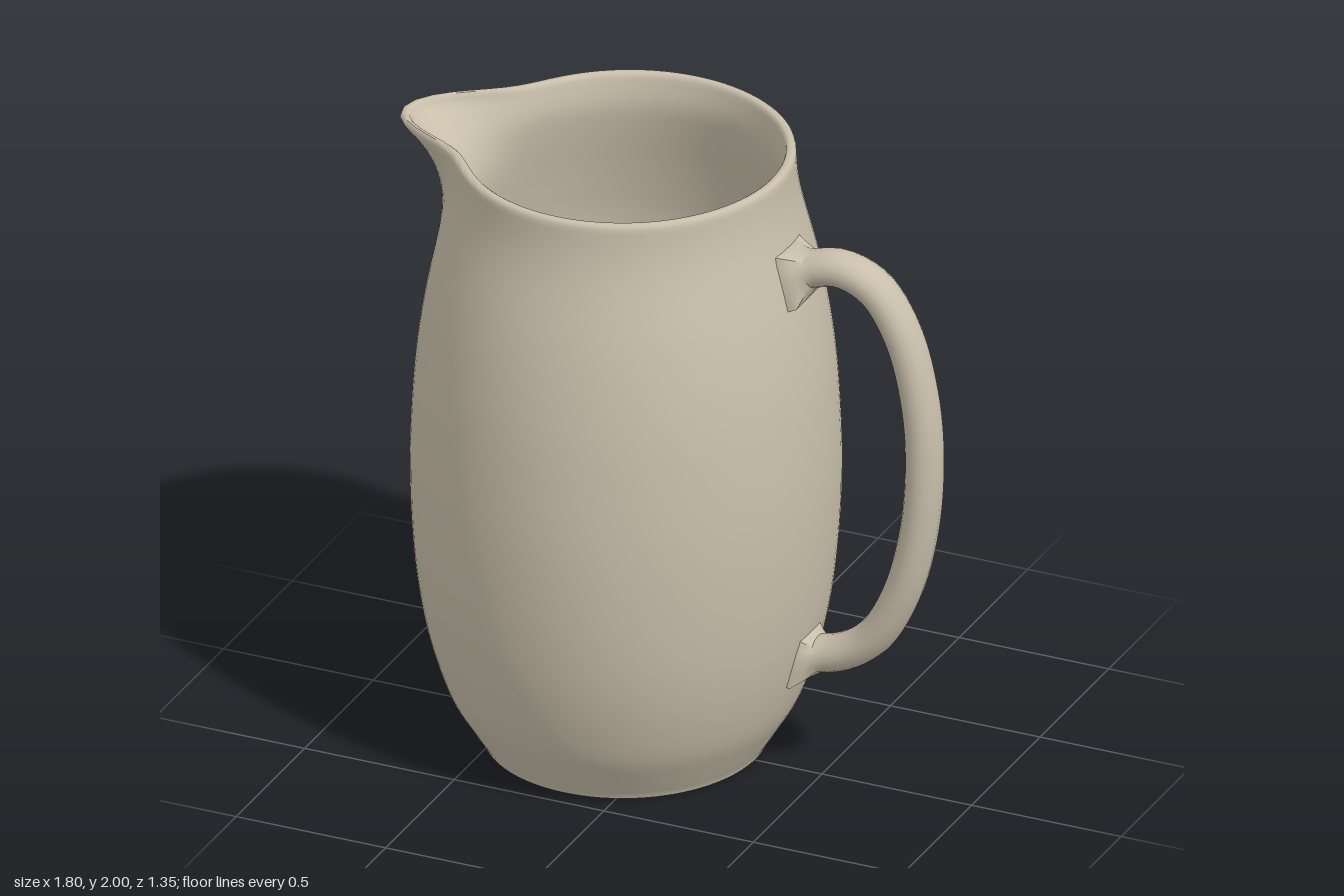
import * as THREE from 'three';
import { toCreasedNormals } from 'three/addons/utils/BufferGeometryUtils.js';

const CENTER_X = -0.155;   // axis of the jug body
const Z_STRETCH = 1.03;    // body is slightly wider in z

const smoothCurve = (pts, n) =>
  new THREE.SplineCurve(pts.map(([x, y]) => new THREE.Vector2(x, y))).getPoints(n);

// Pulls the upper wall out towards -x into a pouring lip
function pullSpout(geometry) {
  const p = geometry.attributes.position;
  for (let i = 0; i < p.count; i++) {
    const x = p.getX(i), y = p.getY(i), z = p.getZ(i);
    const r = Math.hypot(x, z);
    if (r < 1e-6) continue;
    const angle = Math.atan2(z, -x) * 180 / Math.PI;
    const side = Math.exp(-0.5 * (angle / 12) ** 2);
    const t = THREE.MathUtils.clamp((y - 1.6) / 0.38, 0, 1);
    const k = (r + 0.23 * side * Math.pow(t, 2.2)) / r;
    p.setXYZ(i, x * k, y - 0.014 * side * Math.pow(t, 6), z * k * Z_STRETCH);
  }
  return geometry;
}

// Closed wall: base, outside, rim, inside, inner floor
function bodyGeometry() {
  const outer = smoothCurve([
    [0.438, 0.015], [0.485, 0.09], [0.545, 0.2], [0.605, 0.4], [0.64, 0.63], [0.655, 0.92],
    [0.645, 1.2], [0.625, 1.4], [0.59, 1.6], [0.54, 1.8], [0.522, 1.9], [0.516, 1.985],
  ], 44);
  const inner = smoothCurve([
    [0.482, 1.985], [0.472, 1.9], [0.49, 1.8], [0.54, 1.6], [0.575, 1.4], [0.605, 0.92],
    [0.59, 0.63], [0.555, 0.4], [0.5, 0.2], [0.45, 0.1],
  ], 36);
  const v = (x, y) => new THREE.Vector2(x, y);
  const profile = [
    v(0, 0), v(0.425, 0), v(0.434, 0.004), ...outer,
    v(0.512, 1.996), v(0.506, 2), v(0.492, 2), v(0.486, 1.996), ...inner,
    v(0.42, 0.075), v(0.36, 0.065), v(0, 0.06),
  ];
  return toCreasedNormals(pullSpout(new THREE.LatheGeometry(profile, 96)), 0.7);
}

// Oval section swept along the handle, flaring to a square pad at both ends
function handleGeometry() {
  const path = new THREE.CatmullRomCurve3([
    [0.39, 1.685], [0.47, 1.72], [0.57, 1.74], [0.68, 1.695], [0.77, 1.56], [0.825, 1.36],
    [0.843, 1.15], [0.825, 0.9], [0.765, 0.67], [0.67, 0.505], [0.57, 0.435], [0.48, 0.41],
    [0.41, 0.41],
  ].map(([x, y]) => new THREE.Vector3(x, y, 0)));
  const rings = 64, sides = 16, length = path.getLength();
  const pos = [], index = [];
  for (let i = 0; i <= rings; i++) {
    const u = i / rings;
    const c = path.getPointAt(u), t = path.getTangentAt(u);
    const fromEnd = Math.min(u, 1 - u) * length;
    const flare = 1 - THREE.MathUtils.smoothstep(fromEnd, 0.03, 0.085);
    for (let j = 0; j < sides; j++) {
      const a = (j / sides) * Math.PI * 2;
      const ca = Math.cos(a), sa = Math.sin(a);
      const square = 0.09 / Math.max(Math.abs(ca), Math.abs(sa));
      const n = THREE.MathUtils.lerp(0.058, square, flare) * ca;
      const b = THREE.MathUtils.lerp(0.069, square, flare) * sa;
      pos.push(c.x - t.y * n, c.y + t.x * n, b);
      if (i < rings) {
        const k = i * sides + j, m = i * sides + (j + 1) % sides;
        index.push(k, m, k + sides, m, m + sides, k + sides);
      }
    }
  }
  const g = new THREE.BufferGeometry();
  g.setAttribute('position', new THREE.Float32BufferAttribute(pos, 3));
  g.setIndex(index);
  return toCreasedNormals(g, 0.6);
}

export function createModel() {
  const group = new THREE.Group();
  group.name = 'jug';
  const clay = new THREE.MeshStandardMaterial({ color: 0xc9bfab });
  clay.name = 'beige clay';

  const body = new THREE.Mesh(bodyGeometry(), clay);
  body.name = 'body';
  body.position.x = CENTER_X;

  const handle = new THREE.Mesh(handleGeometry(), clay);
  handle.name = 'handle';

  group.add(body, handle);
  return group;
}
